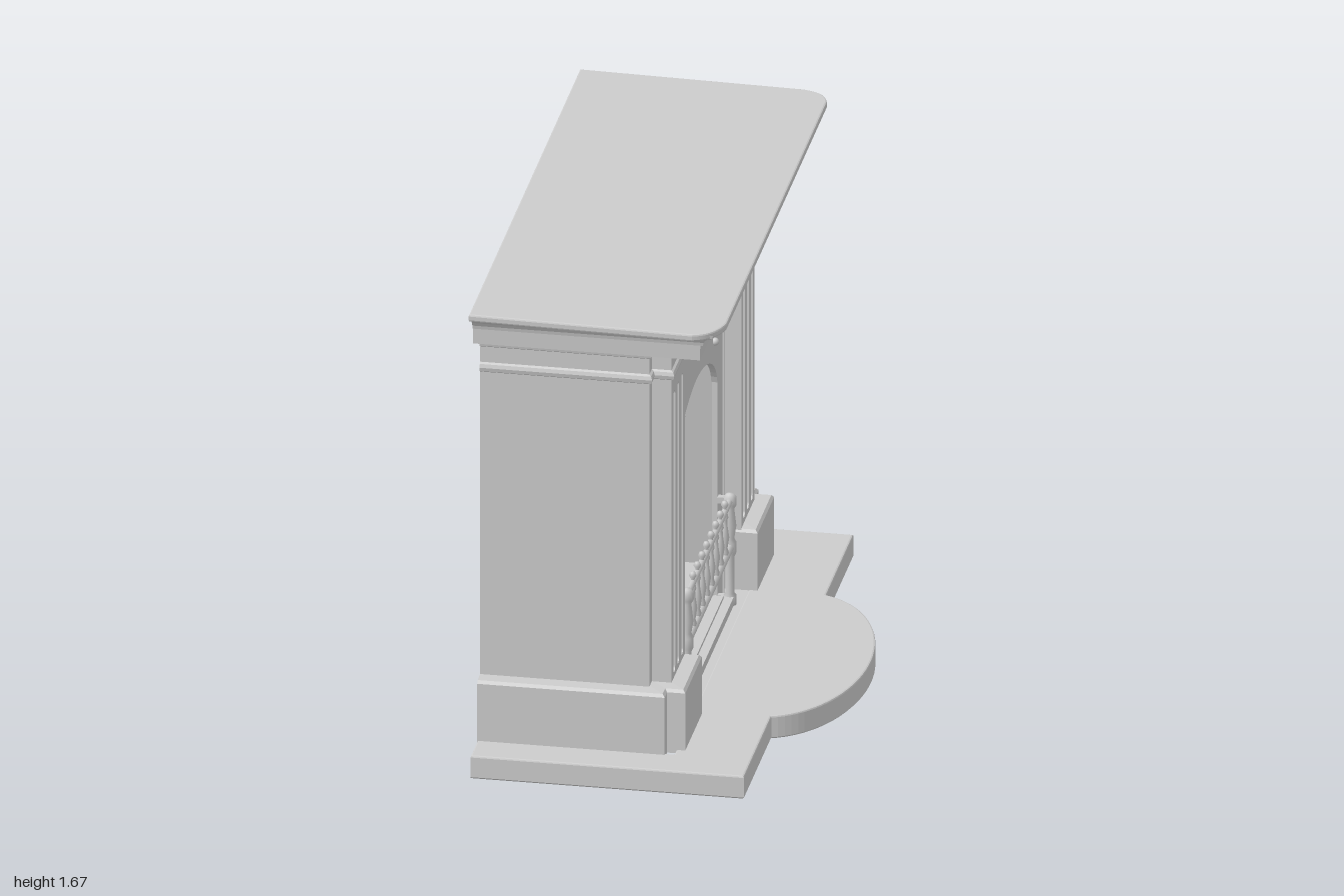
import * as THREE from 'three';

const mat = new THREE.MeshStandardMaterial({ color: 0xcccccc, side: THREE.DoubleSide });

// Everything is modelled facing +z, then turned to face +x at the end.
export function createModel() {
  const body = new THREE.Group();
  body.name = 'fireplace';

  const add = (name, geo, x = 0, y = 0, z = 0, parent = body) => {
    const m = new THREE.Mesh(geo, mat);
    m.name = name;
    m.position.set(x, y, z);
    parent.add(m);
    return m;
  };
  const box = (name, w, h, d, x, y, z, parent) =>
    add(name, new THREE.BoxGeometry(w, h, d), x, y, z, parent);

  // Skin between consecutive rings of [x, y, z] points, with flat faces
  const loft = (rings) => {
    const pos = [];
    for (let j = 0; j < rings.length - 1; j++) {
      for (let i = 0; i < rings[j].length - 1; i++) {
        const a = rings[j][i], b = rings[j][i + 1], c = rings[j + 1][i + 1], d = rings[j + 1][i];
        pos.push(...a, ...b, ...c, ...a, ...c, ...d);
      }
    }
    const g = new THREE.BufferGeometry();
    g.setAttribute('position', new THREE.Float32BufferAttribute(pos, 3));
    g.computeVertexNormals();
    return g;
  };

  // Moulding: profile of [offset, y] carried along a mitred plan path of [x, z]
  const sweep = (path, profile) => {
    const normals = path.slice(1).map(([x, z], i) => {
      const dx = x - path[i][0], dz = z - path[i][1], l = Math.hypot(dx, dz);
      return [-dz / l, dx / l];
    });
    const mitre = path.map((p, i) => {
      const n = normals[Math.max(i - 1, 0)], m = normals[Math.min(i, normals.length - 1)];
      const k = 1 + n[0] * m[0] + n[1] * m[1];
      return [(n[0] + m[0]) / k, (n[1] + m[1]) / k];
    });
    return loft(profile.map(([o, y]) =>
      path.map(([x, z], i) => [x + mitre[i][0] * o, y, z + mitre[i][1] * o])));
  };
  const mirror = (path) => path.map(([x, z]) => [-x, z]).reverse();

  // Horizontal slab from a plan shape (shape y = -z)
  const slab = (shape, y, h, bevel = 0) => {
    const g = new THREE.ExtrudeGeometry(shape, {
      depth: h - 2 * bevel, bevelEnabled: bevel > 0, bevelSize: bevel, bevelThickness: bevel,
      bevelOffset: -bevel, bevelSegments: 2, curveSegments: 20,
    });
    return g.rotateX(-Math.PI / 2).translate(0, y + bevel, 0);
  };
  const planShape = (pts) => new THREE.Shape(pts.map(([x, z]) => new THREE.Vector2(x, -z)));

  // Hearth: bowed outline, hollow underneath, cut away behind for the firebox
  const bow = new THREE.Path();
  bow.moveTo(-0.475, 0.355);
  bow.bezierCurveTo(-0.425, 0.50, -0.22, 0.595, 0.015, 0.595);
  bow.bezierCurveTo(0.25, 0.595, 0.46, 0.50, 0.51, 0.355);
  const edge = [[-0.965, -0.55], [-0.965, 0.355], ...bow.getPoints(20).map((p) => [p.x, p.y]), [0.998, 0.355], [0.998, -0.55]];
  const cutout = [[0.83, -0.55], [0.83, 0.1], [-0.83, 0.1], [-0.83, -0.55]];
  add('hearthTop', slab(planShape([...edge, ...cutout]), 0.06, 0.022, 0.006));
  add('hearthRim', sweep(edge, [[-0.035, 0.06], [-0.035, 0], [-0.006, 0], [0, 0.006], [0, 0.07]]));
  box('innerHearth', 1.04, 0.015, 0.15, 0, 0.073, 0.045);

  // Side walls, pilasters and plinths
  const outer = [[-0.79, -0.55], [-0.79, 0.01], [-0.745, 0.01]];
  const shaftPath = [...outer, [-0.745, 0.06], [-0.505, 0.06], [-0.505, 0]];
  const plinthPath = [[-0.843, -0.55], [-0.843, 0.07], [-0.797, 0.07], [-0.797, 0.13], [-0.5, 0.13], [-0.5, 0]];
  for (const side of [-1, 1]) {
    const name = side < 0 ? 'left' : 'right';
    const f = (p) => (side < 0 ? p : mirror(p));
    add(name + 'SideWall', sweep(f(shaftPath), [[0, 0.29], [0, 1.38]]));
    add(name + 'Plinth', sweep(f(plinthPath), [[0, 0.07], [0, 0.285], [-0.008, 0.295], [-0.06, 0.297]]));

    // Fluted pilaster face with three round-ended grooves
    const face = new THREE.Shape();
    face.moveTo(-0.12, 0.29).lineTo(0.12, 0.29).lineTo(0.12, 1.38).lineTo(-0.12, 1.38).closePath();
    for (const x of [-0.07, 0, 0.07]) {
      const flute = new THREE.Path();
      flute.absarc(x, 0.33, 0.016, Math.PI, Math.PI * 2, false);
      flute.absarc(x, 1.30, 0.016, 0, Math.PI, false);
      flute.closePath();
      face.holes.push(flute);
    }
    add(name + 'FlutedPilaster', new THREE.ExtrudeGeometry(face, { depth: 0.015, bevelEnabled: false, curveSegments: 6 }),
      side * 0.625, 0, 0.06);
  }

  // Frieze with necking band and flared capitals, breaking forward over the pilasters
  const half = [...outer, [-0.745, 0.075], [-0.505, 0.075], [-0.505, 0.025]];
  add('frieze', sweep([...half, ...mirror(half)], [
    [0, 1.35], [0, 1.375], [0.008, 1.38], [0.011, 1.393], [0.007, 1.405], [0, 1.41],
    [0, 1.465], [0.008, 1.47], [0.011, 1.485], [0.025, 1.5], [0.045, 1.508], [0.045, 1.525], [0.02, 1.535],
  ]));
  box('friezeSoffit', 1.1, 0.01, 0.12, 0, 1.535, 0.07);

  // Cornice under the shelf
  add('cornice', sweep([[-0.79, -0.55], [-0.79, 0.075], [0.79, 0.075], [0.79, -0.55]], [
    [0.02, 1.53], [0.125, 1.53], [0.127, 1.585], [0.137, 1.588], [0.14, 1.6],
    [0.148, 1.613], [0.16, 1.623], [0.175, 1.632], [0.178, 1.645],
  ]));

  // Mantel shelf with rounded front corners, falling slightly toward the front
  const shelf = new THREE.Shape();
  shelf.moveTo(-0.998, 0.55);
  shelf.lineTo(-0.998, -0.19);
  shelf.quadraticCurveTo(-0.975, -0.265, -0.88, -0.283);
  shelf.lineTo(0.91, -0.283);
  shelf.quadraticCurveTo(0.985, -0.275, 0.998, -0.19);
  shelf.lineTo(0.998, 0.55);
  const shelfGeo = slab(shelf, 1.643, 0.025, 0.006);
  const sp = shelfGeo.attributes.position;
  for (let i = 0; i < sp.count; i++) sp.setY(i, sp.getY(i) - 0.013 * (sp.getZ(i) + 0.55) / 0.83);
  add('mantelShelf', shelfGeo);

  // Iron front panel with arched hole, bead and two knobs
  const panel = new THREE.Shape();
  panel.moveTo(-0.506, 0.07).lineTo(0.506, 0.07).lineTo(0.506, 1.36).lineTo(-0.506, 1.36).closePath();
  const opening = new THREE.Path();
  opening.moveTo(-0.375, 0.11);
  opening.lineTo(0.375, 0.11);
  opening.lineTo(0.375, 0.87);
  opening.bezierCurveTo(0.35, 0.98, 0.15, 1.045, 0, 1.045);
  opening.bezierCurveTo(-0.15, 1.045, -0.35, 0.98, -0.375, 0.87);
  panel.holes.push(opening);
  add('ironPanel', new THREE.ExtrudeGeometry(panel, { depth: 0.02, bevelEnabled: false, curveSegments: 14 }), 0, 0, 0);
  box('panelTopBead', 0.94, 0.008, 0.012, 0, 1.344, 0.02);
  for (const s of [-1, 1]) {
    box('panelSideBead', 0.008, 1.26, 0.012, s * 0.468, 0.71, 0.02);
    add('knob', new THREE.SphereGeometry(0.013, 12, 8), s * 0.303, 1.048, 0.026);
  }

  // Fire chamber with splayed sides and flat ceiling, back wall and floors
  const chamber = (w, h, z) => [[-w, 0.1, z], [-w, h, z], [w, h, z], [w, 0.1, z]];
  add('chamberLining', loft([chamber(0.376, 1.05, 0.005), chamber(0.33, 1.015, -0.15)]));
  box('chamberBack', 0.66, 0.915, 0.01, 0, 0.5575, -0.155);
  box('chamberFloor', 0.75, 0.02, 0.2, 0, 0.1, -0.06);
  box('fireBed', 0.69, 0.02, 0.18, 0, 0.225, -0.07);

  // Outer casing of the firebox, seen from behind
  const left = [[-0.385, 0], [-0.385, -0.42], [-0.345, -0.47]];
  const casing = [...left, ...mirror(left)].reverse();
  add('fireboxCasing', sweep(casing, [
    [0.0, 0.1], [-0.015, 0.115], [-0.015, 0.22], [-0.005, 0.228], [-0.012, 0.238], [0, 0.25], [0, 1.31],
  ]));
  add('fireboxTop', slab(planShape(casing), 1.3, 0.025, 0.01));
  add('fireboxBase', slab(planShape(casing), 0.1, 0.015));

  // Flue plate on the back, its upper edge sloping down toward the casing
  const flue = new THREE.BoxGeometry(0.52, 0.26, 0.13);
  const fp = flue.attributes.position;
  for (let i = 0; i < fp.count; i++) if (fp.getZ(i) > 0) fp.setY(i, fp.getY(i) - (fp.getY(i) > 0 ? 0.07 : 0.01));
  flue.computeVertexNormals();
  add('fluePlate', flue, 0.01, 1.23, -0.533);

  // Grate: turned posts, rails and balusters
  const grate = new THREE.Group();
  grate.name = 'grate';
  grate.position.z = 0.06;
  body.add(grate);
  const turned = (pts, n) => new THREE.LatheGeometry(pts.map(([r, y]) => new THREE.Vector2(r, y)), n);
  const post = turned([[0, 0.08], [0.022, 0.08], [0.022, 0.11], [0.015, 0.12], [0.015, 0.25], [0.021, 0.265], [0.021, 0.3],
    [0.014, 0.315], [0.021, 0.36], [0.014, 0.42], [0.022, 0.435], [0.022, 0.46], [0.012, 0.472], [0, 0.475]], 14);
  const baluster = turned([[0.009, 0.29], [0.014, 0.305], [0.009, 0.32], [0.015, 0.36], [0.009, 0.4], [0.008, 0.42],
    [0.012, 0.43], [0.008, 0.45], [0.006, 0.462], [0.013, 0.475], [0.008, 0.486], [0, 0.488]], 10);
  for (const s of [-1, 1]) {
    add('gratePost', post, s * 0.385, 0, 0, grate);
    for (const y of [0.1, 0.285, 0.45]) box('postBracket', 0.022, 0.022, 0.05, s * 0.385, y, -0.025, grate);
  }
  for (let i = 0; i < 8; i++) add('baluster', baluster, -0.283 + i * 0.082, 0, 0, grate);
  for (const [y, r] of [[0.45, 0.011], [0.285, 0.015]])
    add('grateRail', new THREE.CylinderGeometry(r, r, 0.77, 10).rotateZ(Math.PI / 2), 0, y, 0, grate);
  box('grateBaseBar', 0.77, 0.03, 0.03, 0, 0.097, 0, grate);

  body.rotation.y = Math.PI / 2;
  const model = new THREE.Group();
  model.name = 'fireplaceModel';
  model.add(body);
  return model;
}
